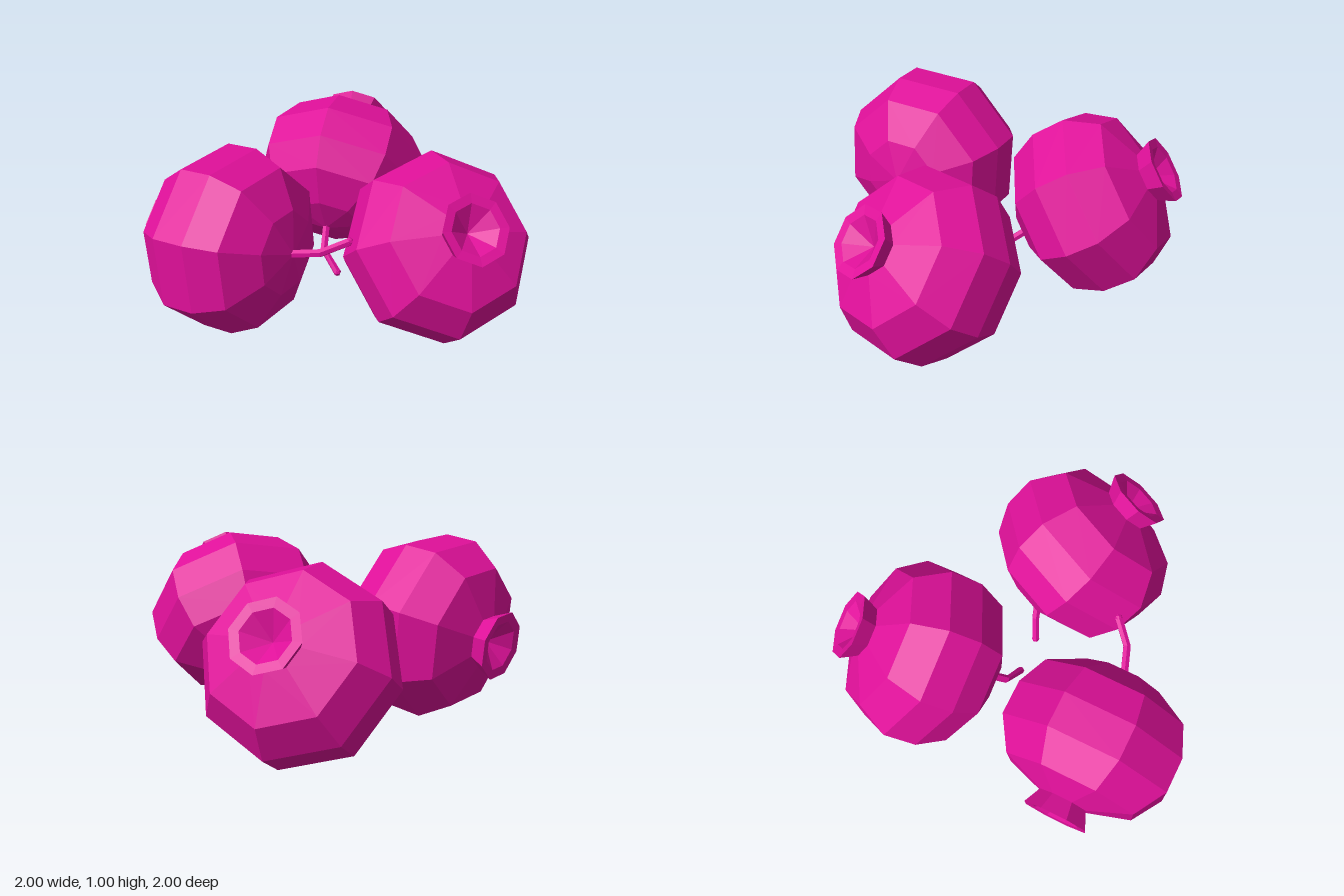
import * as THREE from 'three';

const V = (a) => new THREE.Vector3(...a);
const material = new THREE.MeshStandardMaterial({
  color: 0xe0109a, flatShading: true, side: THREE.DoubleSide,
});

// Eight-sided turned shape about y, with flat faces towards +z and +x
function turned(name, profile) {
  const points = profile.map(([r, y]) => new THREE.Vector2(r, y));
  const mesh = new THREE.Mesh(new THREE.LatheGeometry(points, 8, Math.PI / 8), material);
  mesh.name = name;
  return mesh;
}

// Bent stem with a closed tip
function makeStem(base, bend, tip) {
  const path = new THREE.CurvePath();
  path.add(new THREE.LineCurve3(base, bend));
  path.add(new THREE.LineCurve3(bend, tip));
  const stem = new THREE.Group();
  stem.name = 'stem';
  const stalk = new THREE.Mesh(new THREE.TubeGeometry(path, 2, 0.023, 6), material);
  stalk.name = 'stalk';
  const cap = new THREE.Mesh(new THREE.SphereGeometry(0.023, 6, 4), material);
  cap.name = 'stemTip';
  cap.position.copy(tip);
  stem.add(stalk, cap);
  return stem;
}

// axis points from stem to crown; flat is the direction one flat side faces
function makeBerry({ name, center, axis, flat, bend, tip }) {
  const up = V(axis).normalize();
  const side = new THREE.Vector3().crossVectors(up, V(flat)).normalize();
  const out = new THREE.Vector3().crossVectors(side, up);

  const fruit = new THREE.Group();
  fruit.name = 'fruit';
  fruit.add(
    turned('body', [
      [0, -0.43], [0.23, -0.387], [0.435, -0.268], [0.51, -0.096],
      [0.51, 0.096], [0.395, 0.268], [0.14, 0.35],
    ]),
    // Flared crown with a hollow centre
    turned('crown', [[0.14, 0.34], [0.19, 0.445], [0.137, 0.44], [0, 0.345]]),
  );
  fruit.quaternion.setFromRotationMatrix(new THREE.Matrix4().makeBasis(side, up, out));
  fruit.position.copy(V(center));

  const berry = new THREE.Group();
  berry.name = name;
  berry.add(fruit, makeStem(V(center).addScaledVector(up, -0.41), V(bend), V(tip)));
  return berry;
}

export function createModel() {
  const model = new THREE.Group();
  model.name = 'berries';
  const berries = [
    {
      name: 'frontBerry', center: [-0.37, 0.5, 0.525], axis: [-0.98, -0.08, 0.17],
      flat: [0, 1, 0], bend: [0.18, 0.56, 0.37], tip: [0.265, 0.61, 0.25],
    },
    {
      name: 'leftBerry', center: [0.53, 0.51, -0.16], axis: [0.73, 0.62, 0.28],
      flat: [0.65, -0.76, 0], bend: [0.13, 0.14, -0.23], tip: [0.06, 0.025, -0.18],
    },
    {
      name: 'backBerry', center: [-0.51, 0.52, -0.53], axis: [-0.37, 0.57, -0.74],
      flat: [0.49, 0.85, 0.22], bend: [-0.28, 0.18, -0.12], tip: [-0.17, 0.08, -0.12],
    },
  ];
  for (const spec of berries) model.add(makeBerry(spec));
  return model;
}
